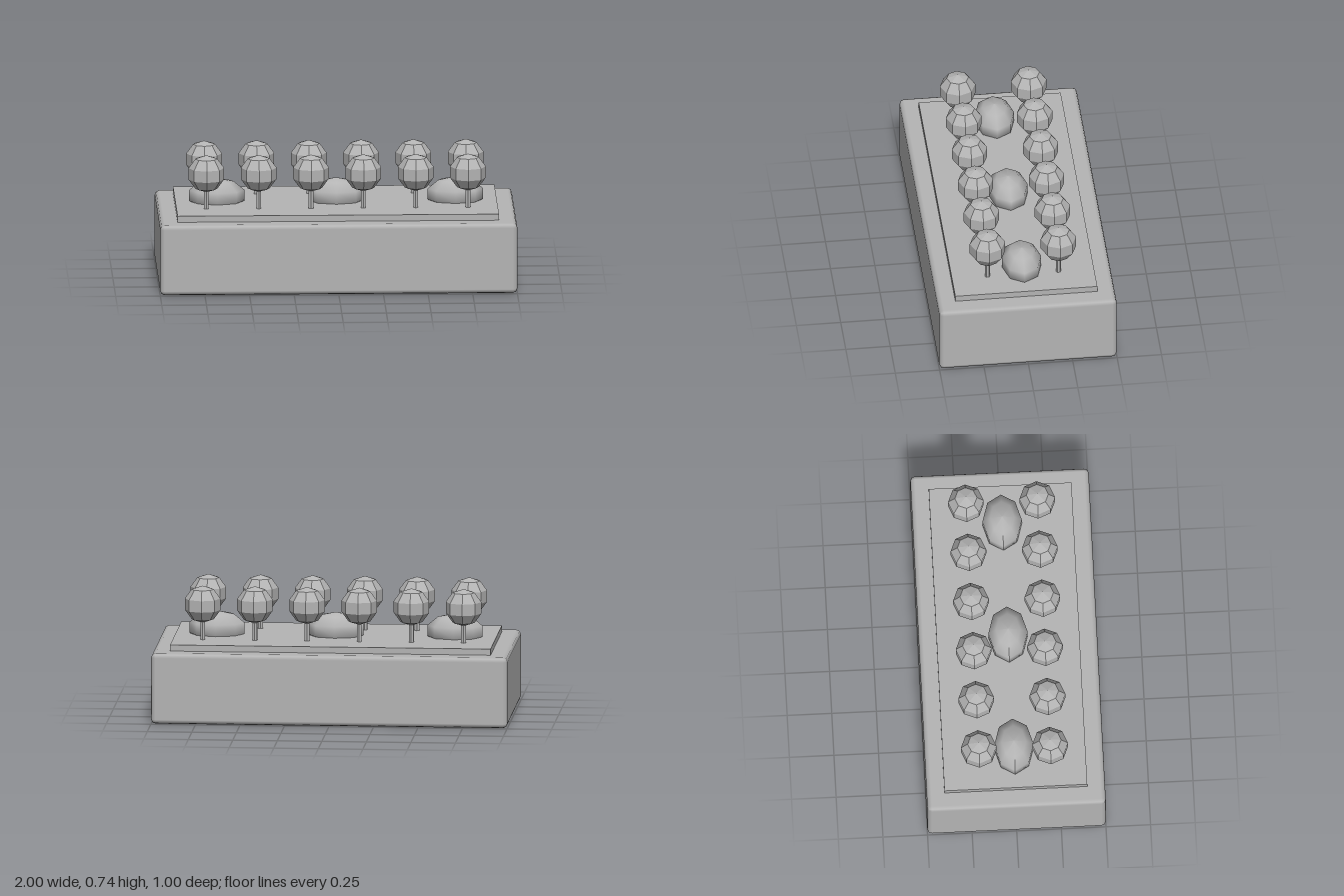
import * as THREE from 'three';
import { RoundedBoxGeometry } from 'three/addons/geometries/RoundedBoxGeometry.js';

export function createModel() {
  const model = new THREE.Group();
  model.name = 'gardenPlanter';
  const stone = new THREE.MeshStandardMaterial({ color: 0xb4b4b4 });
  stone.name = 'plain grey';
  stone.flatShading = false;

  const add = (name, geometry, x, y, z, parent = model) => {
    const mesh = new THREE.Mesh(geometry, stone);
    mesh.name = name;
    mesh.position.set(x, y, z);
    parent.add(mesh);
    return mesh;
  };

  // Split faces so that low-poly parts keep flat facets
  const faceted = (geometry) => {
    const flat = geometry.toNonIndexed();
    flat.computeVertexNormals();
    return flat;
  };

  // Planter block and raised soil bed
  add('planterBase', new RoundedBoxGeometry(2, 0.4, 1, 1, 0.025), 0, 0.2, 0);
  add('soilBed', new THREE.BoxGeometry(1.8, 0.035, 0.8), 0, 0.4175, 0);

  // Two rows of six round-topped trees
  const trunk = faceted(new THREE.CylinderGeometry(0.015, 0.015, 0.13, 6));
  const crown = faceted(new THREE.SphereGeometry(0.105, 8, 5));
  for (const z of [-0.2, 0.2]) {
    for (let i = 0; i < 6; i++) {
      const tree = new THREE.Group();
      tree.name = 'tree';
      tree.position.set((i - 2.5) * 0.293, 0.435, z);
      add('trunk', trunk, 0, 0.065, 0, tree);
      add('crown', crown, 0, 0.2, 0, tree);
      model.add(tree);
    }
  }

  // Three low bushes, half sunk in the bed
  const bush = new THREE.SphereGeometry(1, 8, 5);
  bush.scale(0.163, 0.097, 0.116);
  bush.computeVertexNormals();
  for (const x of [-0.668, 0, 0.668]) add('bush', bush, x, 0.47, 0);

  return model;
}
